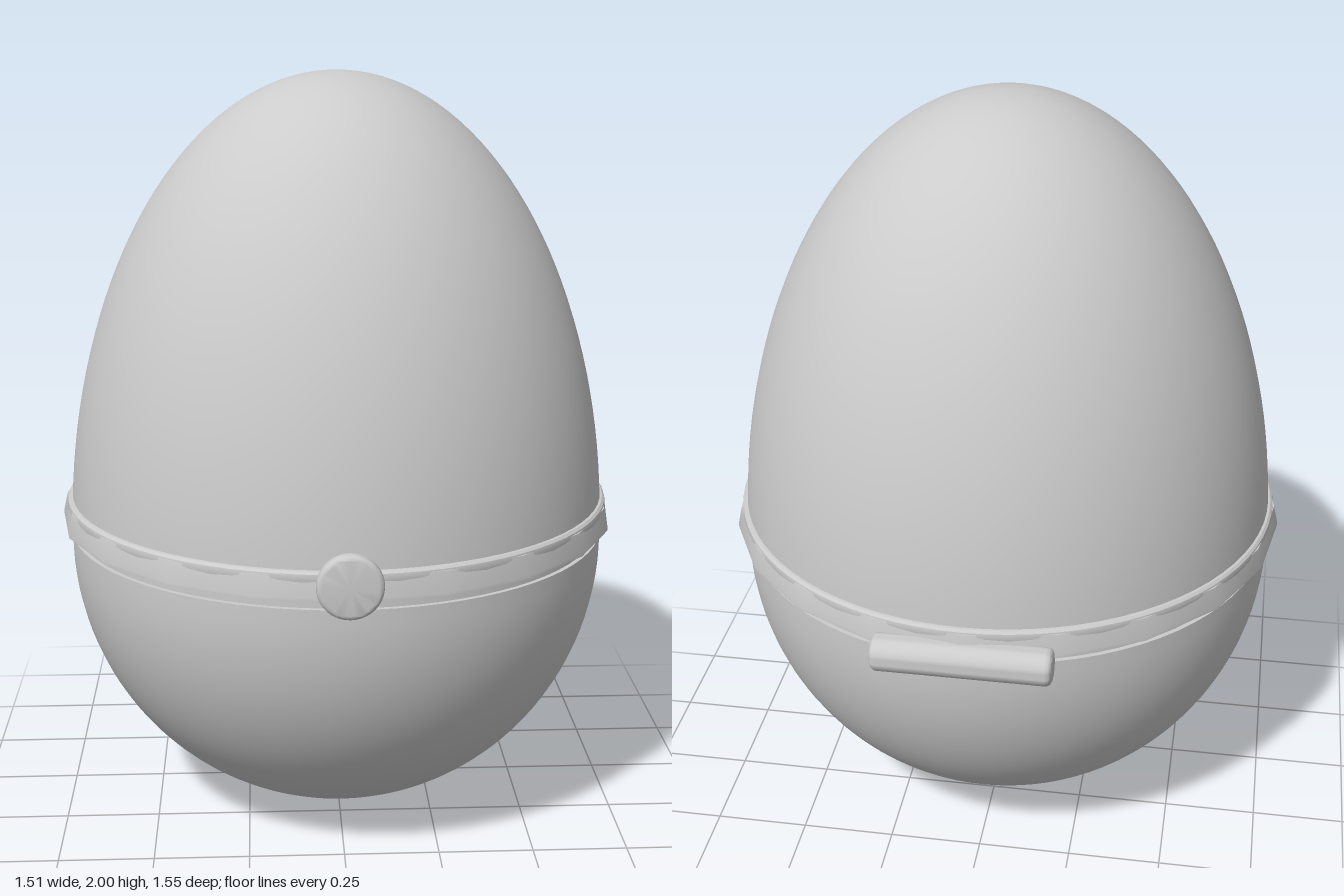
import * as THREE from 'three';
import { toCreasedNormals } from 'three/addons/utils/BufferGeometryUtils.js';

const R = 0.727; // widest radius of the egg
const MID = 0.75; // height of the widest point

export function createModel() {
  const model = new THREE.Group();
  const material = new THREE.MeshStandardMaterial({ color: 0xcccccc, side: THREE.DoubleSide });

  const add = (name, geometry, x, y, z) => {
    const mesh = new THREE.Mesh(geometry, material);
    mesh.name = name;
    mesh.position.set(x, y, z);
    model.add(mesh);
    return mesh;
  };
  const lathe = (points, sides) =>
    toCreasedNormals(new THREE.LatheGeometry(points.map(([r, y]) => new THREE.Vector2(r, y)), sides), 0.5);

  // Egg outline: a short half ellipse below the middle, a tall one above it
  const eggRadius = (y) => {
    const h = y < MID ? MID : 2 - MID;
    return R * Math.sqrt(Math.max(0, 1 - ((y - MID) / h) ** 2));
  };
  const eggProfile = (from, to, steps) => {
    const points = [];
    for (let i = 0; i <= steps; i++) {
      // cosine spacing keeps the poles round
      const t = from < MID ? 1 - Math.cos((i / steps) * Math.PI / 2) : Math.sin((i / steps) * Math.PI / 2);
      const y = from + (to - from) * t;
      points.push([eggRadius(y), y]);
    }
    return points;
  };

  const centre = 0.012; // the shells sit slightly forward of the hinge

  // Lower shell with a narrow recessed neck under the lid
  const lower = eggProfile(0, 0.774, 32);
  lower.push([0.715, 0.774], [0.715, 0.81]);
  add('lowerShell', lathe(lower, 80), 0, 0, centre);

  // Upper shell
  add('upperShell', lathe(eggProfile(0.8, 2, 36), 80), 0, 0, centre);

  // Flared rim with a faceted skirt and a round top bead
  add('rimSkirt', lathe([[0.715, 0.803], [0.753, 0.803], [0.753, 0.81], [0.741, 0.862], [0.72, 0.862]], 20), 0, 0, centre);
  add('rimBead', lathe([[0.734, 0.84], [0.738, 0.855], [0.736, 0.866], [0.73, 0.872], [0.715, 0.874]], 80), 0, 0, centre);

  // Rounded solid of revolution used by the clasp and the hinge
  const roundedCylinder = (radius, length, bevel, sides) => {
    const half = length / 2;
    const points = [[0, -half]];
    for (const end of [-1, 1]) {
      for (let i = 0; i <= 6; i++) {
        const a = ((end < 0 ? i - 6 : i) / 6) * Math.PI / 2;
        points.push([radius - bevel + bevel * Math.cos(a), end * (half - bevel) + bevel * Math.sin(a)]);
      }
    }
    points.push([0, half]);
    return lathe(points, sides);
  };

  // Front clasp button
  const clasp = add('claspButton', roundedCylinder(0.082, 0.036, 0.014, 40), 0, 0.84, 0.757);
  clasp.rotation.x = Math.PI / 2;

  // Rear hinge barrel
  const hinge = add('hingeBarrel', roundedCylinder(0.048, 0.455, 0.018, 32), 0, 0.79, -0.727);
  hinge.rotation.z = Math.PI / 2;

  return model;
}
